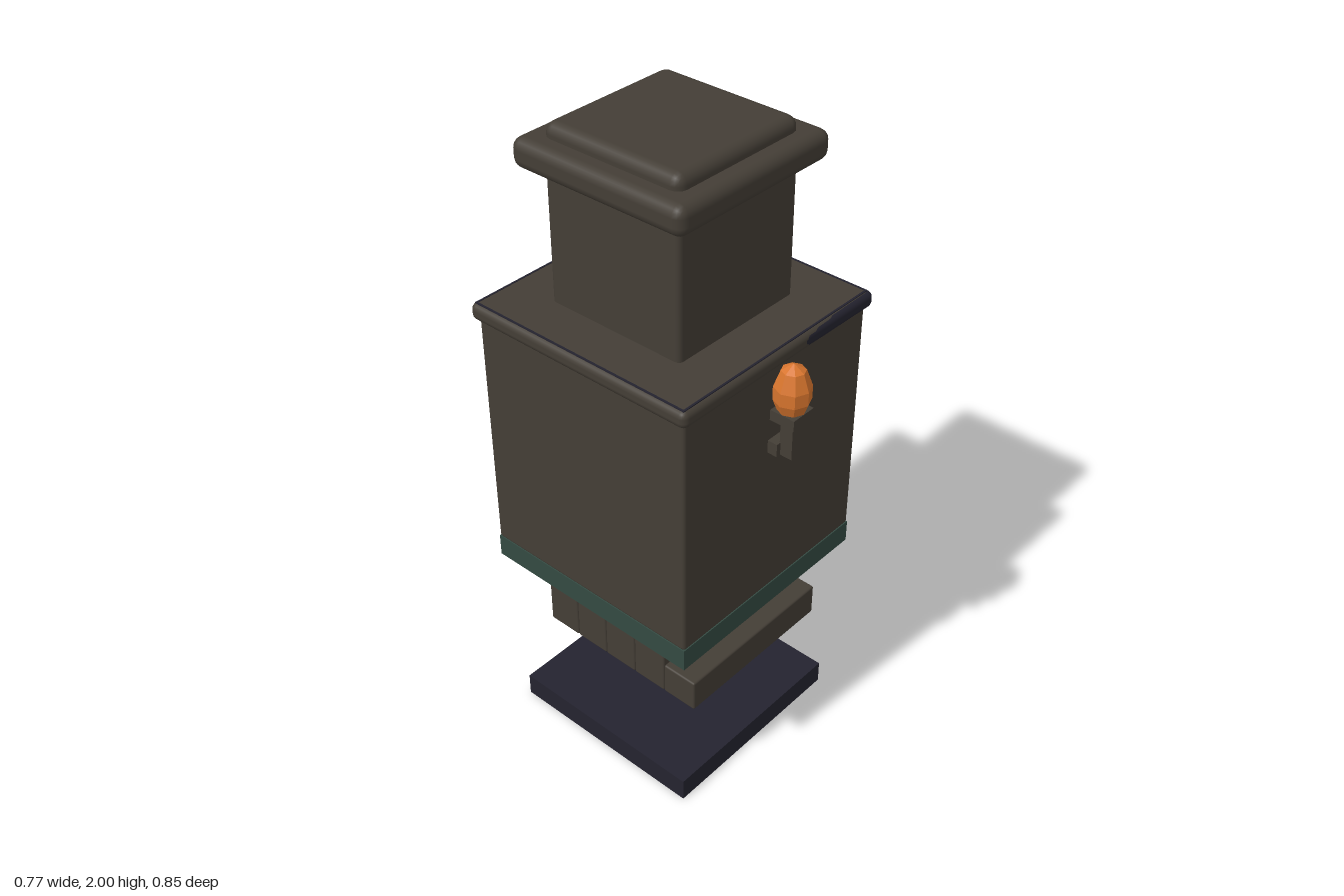
import * as THREE from 'three';
import { RoundedBoxGeometry } from 'three/addons/geometries/RoundedBoxGeometry.js';

const material = (name, color) => {
  const m = new THREE.MeshStandardMaterial({ color });
  m.name = name;
  return m;
};

export function createModel() {
  const stone = material('dark stone', 0x443e36);
  const slate = material('navy slate', 0x24232f);
  const green = material('weathered green', 0x344a42);
  const amber = material('amber glass', 0xd8752e);
  amber.flatShading = true;

  const model = new THREE.Group();
  model.name = 'lanternTower';

  // Box given by its limits on each axis, with optional rounded edges
  function block(name, mat, [x0, x1], [y0, y1], [z0, z1], radius = 0, parent = model) {
    const size = [x1 - x0, y1 - y0, z1 - z0];
    const geometry = radius
      ? new RoundedBoxGeometry(...size, 2, radius)
      : new THREE.BoxGeometry(...size);
    const mesh = new THREE.Mesh(geometry, mat);
    mesh.name = name;
    mesh.position.set((x0 + x1) / 2, (y0 + y1) / 2, (z0 + z1) / 2);
    parent.add(mesh);
    return mesh;
  }

  // Floating base slab
  block('baseSlab', slate, [-0.33, 0.33], [0, 0.075], [-0.37, 0.29]);

  // Steps rising towards the back
  const stepTops = [0.445, 0.572, 0.64, 0.65, 0.66];
  stepTops.forEach((top, i) => {
    const front = 0.285 - i * 0.117;
    block('step', stone, [-0.278, 0.278], [0.34, top], [front - 0.116, front], 0.006);
  });

  // Main body, band and cornice
  block('lowerBand', green, [-0.368, 0.368], [0.6, 0.672], [-0.405, 0.327]);
  block('body', stone, [-0.368, 0.368], [0.67, 1.45], [-0.405, 0.327], 0.01);
  const corniceX = [-0.383, 0.383], corniceY = [1.43, 1.482], corniceZ = [-0.425, 0.341];
  block('cornice', stone, corniceX, corniceY, corniceZ, 0.02);

  // Slate lining that emerges through the cornice at its front left corner
  const lining = block('corniceLining', slate, corniceX, corniceY, corniceZ, 0.02);
  const p = lining.geometry.attributes.position;
  for (let i = 0; i < p.count; i++) {
    const x = p.getX(i), z = p.getZ(i);
    const push = x > 0 && z > 0 ? 0.003 : -0.005;
    p.setXYZ(i, x + Math.sign(x) * push, p.getY(i) * 0.96, z + Math.sign(z) * push);
  }

  // Fine slate line around the top of the cornice
  const lineY = [1.48, 1.4828], w = 0.006;
  for (const x of [-0.368, 0.368]) {
    block('corniceLine', slate, [x - w / 2, x + w / 2], lineY, [-0.413, 0.329]);
  }
  for (const z of [-0.41, 0.326]) {
    block('corniceLine', slate, [-0.365, 0.365], lineY, [z - w / 2, z + w / 2]);
  }

  // Chimney-like neck and cap
  block('neck', stone, [-0.227, 0.227], [1.46, 1.91], [-0.268, 0.186], 0.015);
  block('capRing', stone, [-0.287, 0.287], [1.875, 1.96], [-0.329, 0.245], 0.03);
  block('capTop', stone, [-0.228, 0.228], [1.9, 2], [-0.27, 0.187], 0.03);

  // Wall lamp on the front
  const lamp = new THREE.Group();
  lamp.name = 'wallLamp';
  model.add(lamp);
  block('lampBracket', stone, [-0.035, 0.035], [1.165, 1.205], [0.322, 0.358], 0, lamp);
  block('lampStem', stone, [-0.02, 0.02], [1.165, 1.285], [0.355, 0.396], 0, lamp);
  block('lampHolder', stone, [-0.041, 0.041], [1.28, 1.312], [0.335, 0.414], 0, lamp);
  const profile = [[0, 1.308], [0.038, 1.308], [0.052, 1.345], [0.052, 1.385], [0.034, 1.435], [0, 1.455]];
  const bulb = new THREE.Mesh(
    new THREE.LatheGeometry(profile.map(([r, y]) => new THREE.Vector2(r, y)), 8),
    amber
  );
  bulb.name = 'lampBulb';
  bulb.position.z = 0.374;
  lamp.add(bulb);

  return model;
}
